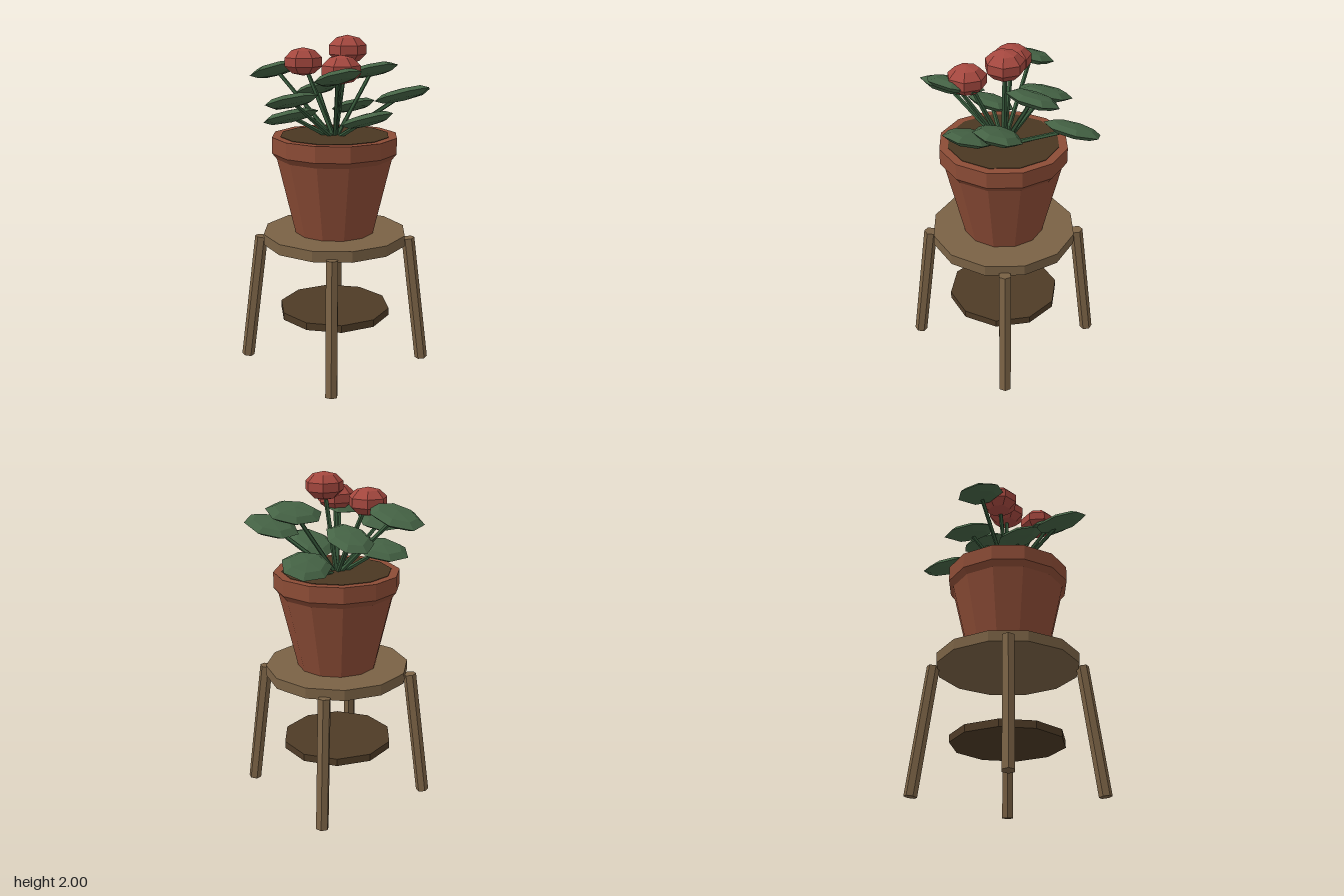
import * as THREE from 'three';

const mat = (name, color) => {
  const m = new THREE.MeshStandardMaterial({ color });
  m.name = name;
  return m;
};

export function createModel() {
  const wood = mat('wood', 0x7a6245);
  const darkWood = mat('darkWood', 0x4e3b26);
  const clay = mat('terracotta', 0x8c4c36);
  const earth = mat('soil', 0x4a3722);
  const leafGreen = mat('leafGreen', 0x456345);
  const stemGreen = mat('stemGreen', 0x385a3c);
  const petalRed = mat('petalRed', 0xa5483f);

  // Everything is arranged around the stool's axis
  const root = new THREE.Group();
  root.name = 'pottedPlantOnStool';
  const model = new THREE.Group();
  model.name = 'plantAndStool';
  model.position.set(0.035, 0, -0.025);
  root.add(model);

  // Adds a faceted mesh
  const add = (name, geometry, material, parent = model) => {
    const g = geometry.index ? geometry.toNonIndexed() : geometry;
    g.computeVertexNormals();
    const mesh = new THREE.Mesh(g, material);
    mesh.name = name;
    parent.add(mesh);
    return mesh;
  };

  // Horizontal disc between two heights
  const disc = (name, r, y0, y1, sides, material, turn = 0) => {
    const mesh = add(name, new THREE.CylinderGeometry(r, r, y1 - y0, sides), material);
    mesh.position.y = (y0 + y1) / 2;
    mesh.rotation.y = turn;
    return mesh;
  };

  // Straight rod between two points
  const rod = (name, a, b, r0, r1, sides, material, turn = 0) => {
    const dir = b.clone().sub(a);
    const geo = new THREE.CylinderGeometry(r1, r0, dir.length(), sides).rotateY(turn);
    const mesh = add(name, geo, material);
    mesh.position.copy(a).add(b).multiplyScalar(0.5);
    mesh.quaternion.setFromUnitVectors(new THREE.Vector3(0, 1, 0), dir.normalize());
    return mesh;
  };

  // Stool: seat, lower shelf and four splayed legs
  disc('stoolTop', 0.435, 0.77, 0.835, 12, wood);
  disc('stoolShelf', 0.34, 0.305, 0.35, 10, darkWood, Math.PI / 10);
  for (const sx of [-1, 1]) {
    for (const sz of [-1, 1]) {
      rod('stoolLeg', new THREE.Vector3(sx * 0.387, 0.004, sz * 0.387),
        new THREE.Vector3(sx * 0.316, 0.79, sz * 0.316), 0.039, 0.039, 6, wood, sx * sz * Math.PI / 4);
    }
  }

  // Pot with a flared rim, and soil
  const profile = [[0, 0.835], [0.24, 0.835], [0.347, 1.29], [0.375, 1.325], [0.375, 1.42], [0, 1.42]]
    .map(([r, y]) => new THREE.Vector2(r, y));
  add('pot', new THREE.LatheGeometry(profile, 12), clay);
  disc('soil', 0.325, 1.416, 1.423, 12, earth);

  const base = new THREE.Vector3(0, 1.39, 0);

  // Nine leaves in a ring: three heights, alternating reach
  for (let i = 1; i <= 9; i++) {
    const a = i * Math.PI * 2 / 9;
    const reach = i % 2 ? 0.265 : 0.397;
    const y = [1.54, 1.785, 1.665][i % 3];
    const centre = new THREE.Vector3(Math.cos(a) * reach, y, Math.sin(a) * reach);
    rod('leafStem', base, centre, 0.014, 0.012, 5, stemGreen);
    const leaf = add('leaf', new THREE.SphereGeometry(1, 7, 4).scale(0.17, 0.036, 0.138), leafGreen);
    leaf.position.copy(centre);
    leaf.rotation.set(0, -a, 0.33, 'ZYX');
  }

  // Three flower heads on taller stems
  for (const [x, y, z] of [[0.045, 1.918, -0.055], [-0.17, 1.843, 0.095], [0.168, 1.822, 0.113]]) {
    const centre = new THREE.Vector3(x, y, z);
    rod('flowerStem', base, centre, 0.015, 0.013, 5, stemGreen);
    const flower = add('flower', new THREE.SphereGeometry(1, 7, 5).scale(0.117, 0.082, 0.117), petalRed);
    flower.position.copy(centre);
    flower.rotation.y = -Math.PI / 2;
  }

  return root;
}
